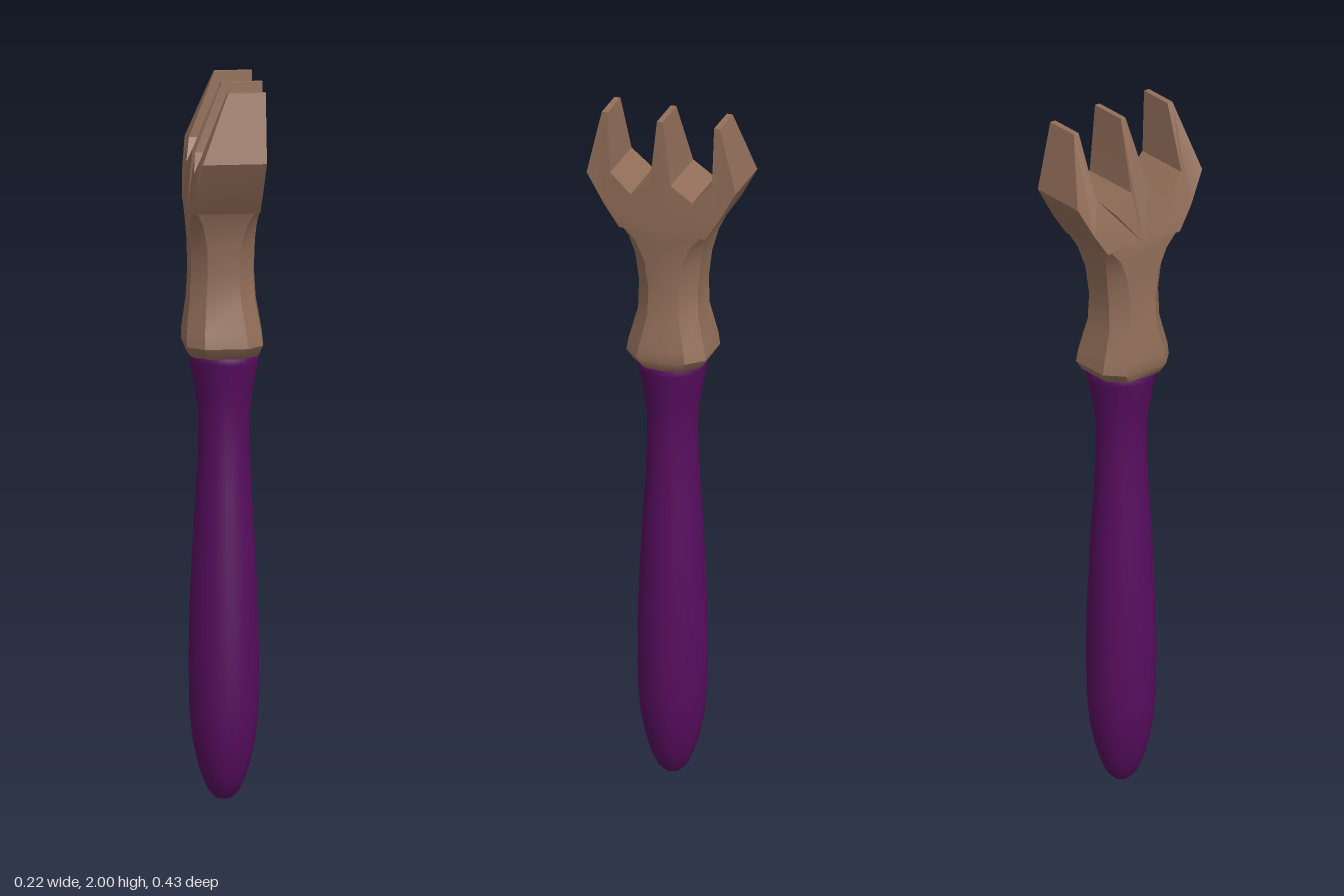
import * as THREE from 'three';
import { mergeGeometries, toCreasedNormals } from 'three/addons/utils/BufferGeometryUtils.js';

// linear interpolation through [position, value] pairs
function ramp(pairs, t) {
  if (t <= pairs[0][0]) return pairs[0][1];
  for (let i = 1; i < pairs.length; i++) {
    const [a, va] = pairs[i - 1], [b, vb] = pairs[i];
    if (t <= b) return va + (vb - va) * (t - a) / (b - a);
  }
  return pairs[pairs.length - 1][1];
}

// neck: chamfered sections, [y, xMin, xMax, half depth, chamfer]
function neckGeometry() {
  const sections = [
    [1.235, -0.08, 0.08, 0.08, 0.04],
    [1.25, -0.1, 0.092, 0.1, 0.045],
    [1.275, -0.11, 0.1, 0.115, 0.045],
    [1.31, -0.11, 0.096, 0.11, 0.045],
    [1.4, -0.1, 0.08, 0.087, 0.042],
    [1.48, -0.096, 0.075, 0.086, 0.042],
    [1.56, -0.097, 0.078, 0.095, 0.04],
    [1.62, -0.1, 0.082, 0.11, 0.03],
    [1.66, -0.101, 0.086, 0.127, 0.012],
  ];
  const n = 10, pos = [], index = [];
  for (const [y, l, r, h, c] of sections) {
    const ring = [
      [r + 0.008, 0], [r, -h + c], [r - c, -h], [l + c, -h], [l, -h + c],
      [l - 0.002, 0], [l, h - c], [l + c, h], [r - c, h], [r, h - c],
    ];
    for (const [x, z] of ring) pos.push(x, y, z);
  }
  for (let s = 0; s < sections.length - 1; s++) {
    for (let i = 0; i < n; i++) {
      const a = s * n + i, b = s * n + (i + 1) % n;
      index.push(a, b, b + n, a, b + n, a + n);
    }
  }
  for (let i = 1; i < n - 1; i++) index.push(0, i + 1, i); // underside
  const g = new THREE.BufferGeometry();
  g.setAttribute('position', new THREE.Float32BufferAttribute(pos, 3));
  g.setIndex(index);
  g.computeVertexNormals();
  return g.toNonIndexed();
}

// half of the three-pronged fork, side is 1 or -1
function forkHalfGeometry(side) {
  const outline = [
    [0, 1.655], [0.125, 1.655], [0.168, 1.72], [0.217, 1.81], [0.172, 2], [0.155, 2],
    [0.148, 1.82], [0.09, 1.762], [0.03, 1.81], [0.008, 2], [0, 2],
  ];
  const shape = new THREE.Shape(outline.map(([u, v]) => new THREE.Vector2(u * side, v)));
  const g = new THREE.ExtrudeGeometry(shape, { depth: 1, bevelEnabled: false });
  const backX = [[1.655, -0.101], [1.762, -0.093], [1.81, -0.083], [2, -0.008]];
  const frontX = [[1.655, 0.086], [1.81, 0.094], [2, 0.096]];
  const p = g.attributes.position;
  for (let i = 0; i < p.count; i++) {
    const u = p.getX(i), y = p.getY(i);
    const x0 = ramp(backX, y);
    const x1 = ramp(frontX, y) + ramp([[0, 0.011], [0.1, 0]], Math.abs(u));
    p.setXYZ(i, x0 + (x1 - x0) * p.getZ(i), y, -u);
  }
  g.deleteAttribute('uv');
  g.computeVertexNormals();
  return g;
}

export function createModel() {
  const model = new THREE.Group();
  const purple = new THREE.MeshStandardMaterial({ color: 0x570d5e });
  purple.name = 'purple grip';
  const brown = new THREE.MeshStandardMaterial({ color: 0x936f5a });
  brown.name = 'brown head';

  // swelling grip with a rounded butt
  const profile = [
    [0, 0], [0.022, 0.005], [0.042, 0.025], [0.06, 0.065], [0.075, 0.115], [0.088, 0.18],
    [0.095, 0.26], [0.097, 0.38], [0.095, 0.52], [0.087, 0.7], [0.077, 0.86], [0.071, 0.98],
    [0.071, 1.08], [0.081, 1.15], [0.095, 1.225], [0.097, 1.24], [0.09, 1.25], [0, 1.25],
  ].map(([r, y]) => new THREE.Vector2(r, y));
  const handle = new THREE.Mesh(new THREE.LatheGeometry(profile, 32), purple);
  handle.name = 'handle';

  // neck and three prongs
  const headParts = [neckGeometry(), forkHalfGeometry(1), forkHalfGeometry(-1)];
  const head = new THREE.Mesh(toCreasedNormals(mergeGeometries(headParts), 0.55), brown);
  head.name = 'forkHead';

  model.add(handle, head);
  return model;
}
